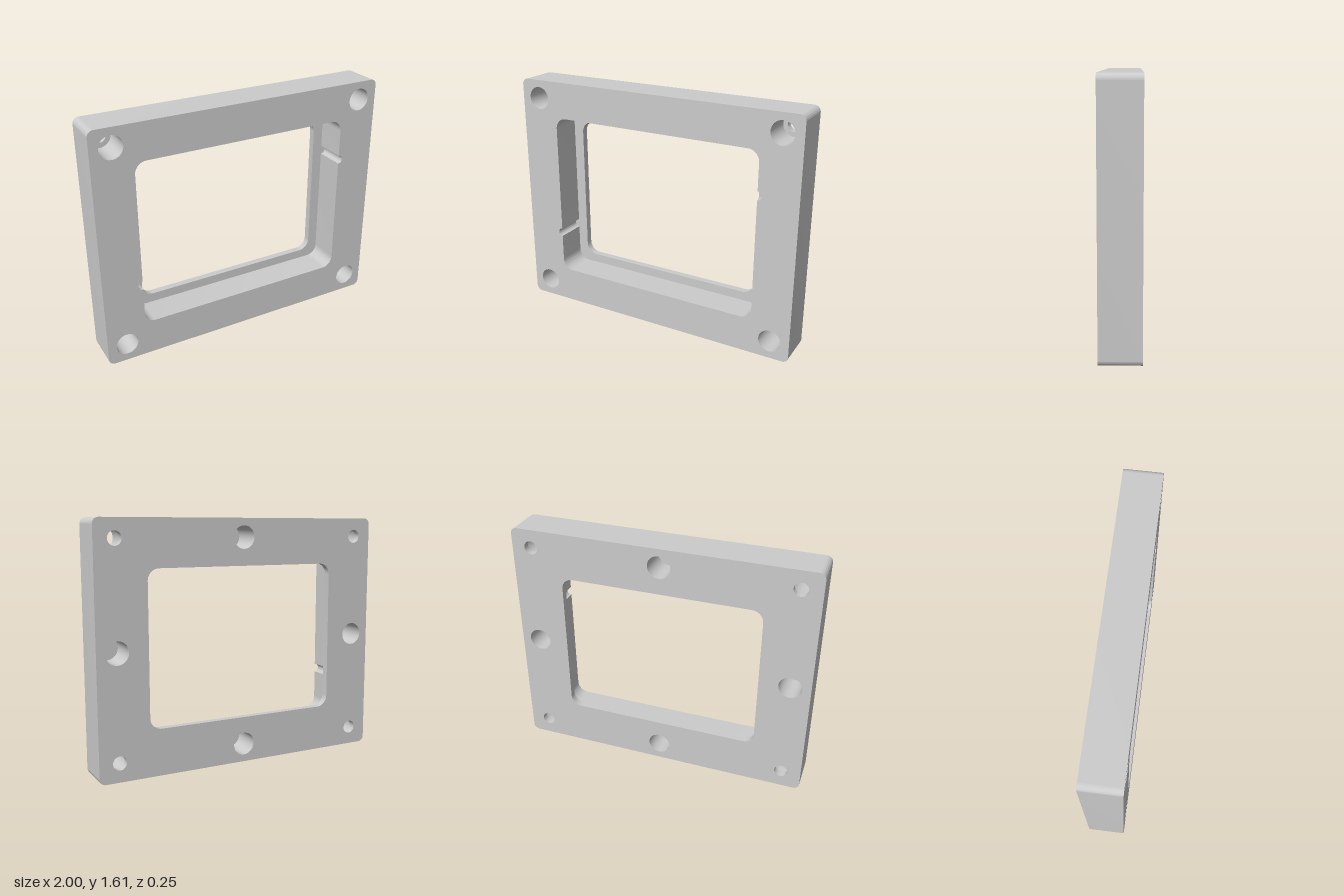
import * as THREE from 'three';
import { mergeGeometries, toCreasedNormals } from 'three/addons/utils/BufferGeometryUtils.js';

const SEG = 16;
const FRONT = 0.125, BACK = -0.125;
const LEDGE = -0.08;                 // floor of the pocket and counterbores
const BLIND = 0.08;                  // floor of the holes drilled from the back
const CY = 0.806;                    // height of the plate centre
const HX = 0.868, HY = 0.684;        // hole offsets from the centre
const R_BIG = 0.075, R_SMALL = 0.045;

// Counter-clockwise rounded rectangle; notch adds a half-round groove on each side
function roundedRect(w, h, r, notch) {
  const s = new THREE.Shape();
  const q = Math.PI / 2;
  s.moveTo(w, -h + r);
  if (notch) s.lineTo(w, notch.y - notch.r).absarc(w, notch.y, notch.r, -q, q, false);
  s.lineTo(w, h - r).absarc(w - r, h - r, r, 0, q, false);
  s.lineTo(-w + r, h).absarc(-w + r, h - r, r, q, 2 * q, false);
  if (notch) s.lineTo(-w, -notch.y + notch.r).absarc(-w, -notch.y, notch.r, q, 3 * q, false);
  s.lineTo(-w, -h + r).absarc(-w + r, -h + r, r, 2 * q, 3 * q, false);
  s.lineTo(w - r, -h).absarc(w - r, -h + r, r, 3 * q, 4 * q, false);
  return s;
}

function circle([x, y], r) {
  return new THREE.Shape().absarc(x, y, r, 0, Math.PI * 2, false);
}

// Flat face at depth z, facing +z, or -z when back is set
function face(outline, holes, z, back = false) {
  const s = outline.clone();
  s.holes = holes;
  const g = new THREE.ShapeGeometry(s, SEG).toNonIndexed();
  g.deleteAttribute('uv');
  if (back) {
    // reverse each triangle so that it faces backwards
    const p = g.attributes.position, n = g.attributes.normal;
    for (let i = 0; i < p.count; i += 3) {
      const x = p.getX(i), y = p.getY(i);
      p.setXY(i, p.getX(i + 1), p.getY(i + 1));
      p.setXY(i + 1, x, y);
    }
    for (let i = 0; i < n.count; i++) n.setZ(i, -1);
  }
  return g.translate(0, 0, z);
}

// Wall along an outline from z0 to z1, facing outwards, or inwards for a hole
function wall(outline, z0, z1, inward = true) {
  const pts = outline.getPoints(SEG);
  const pos = [];
  pts.forEach((a, i) => {
    const b = pts[(i + 1) % pts.length];
    if (a.distanceTo(b) < 1e-6) return;
    const [p, q] = inward ? [b, a] : [a, b];
    pos.push(p.x, p.y, z0, q.x, q.y, z0, q.x, q.y, z1);
    pos.push(p.x, p.y, z0, q.x, q.y, z1, p.x, p.y, z1);
  });
  const g = new THREE.BufferGeometry();
  g.setAttribute('position', new THREE.Float32BufferAttribute(pos, 3));
  return toCreasedNormals(g, Math.PI / 6);
}

export function createModel() {
  const group = new THREE.Group();
  group.name = 'mountingFrame';
  const material = new THREE.MeshStandardMaterial({ color: 0xcccccc });
  const add = (name, ...geometries) => {
    const mesh = new THREE.Mesh(mergeGeometries(geometries), material);
    mesh.name = name;
    mesh.position.y = CY;
    group.add(mesh);
  };

  const corners = [[HX, HY], [-HX, HY], [-HX, -HY], [HX, -HY]];
  const middles = [[HX, 0], [-HX, 0], [0, HY], [0, -HY]];
  const outer = roundedRect(1, CY, 0.04);
  const pocket = roundedRect(0.735, 0.563, 0.075, { y: 0.278, r: 0.029 });
  const window_ = roundedRect(0.665, 0.501, 0.075);
  const big = (c) => circle(c, R_BIG);
  const small = (c) => circle(c, R_SMALL);

  // Plate faces and rim
  add('frontFace', face(outer, [pocket, ...corners.map(big)], FRONT));
  add('backFace', face(outer, [window_, ...corners.map(small), ...middles.map(big)], BACK, true));
  add('outerRim', wall(outer, BACK, FRONT, false));

  // Grooved pocket, its ledge and the window through it
  add('pocketWall', wall(pocket, LEDGE, FRONT));
  add('pocketLedge', face(pocket, [window_], LEDGE), wall(window_, BACK, LEDGE));

  // Counterbored through holes at the corners
  corners.forEach((c, i) => add(`cornerHole${i + 1}`,
    wall(big(c), LEDGE, FRONT), face(big(c), [small(c)], LEDGE), wall(small(c), BACK, LEDGE)));

  // Blind holes in the back at the middle of each side
  middles.forEach((c, i) => add(`backHole${i + 1}`,
    wall(big(c), BACK, BLIND), face(big(c), [], BLIND, true)));

  return group;
}
